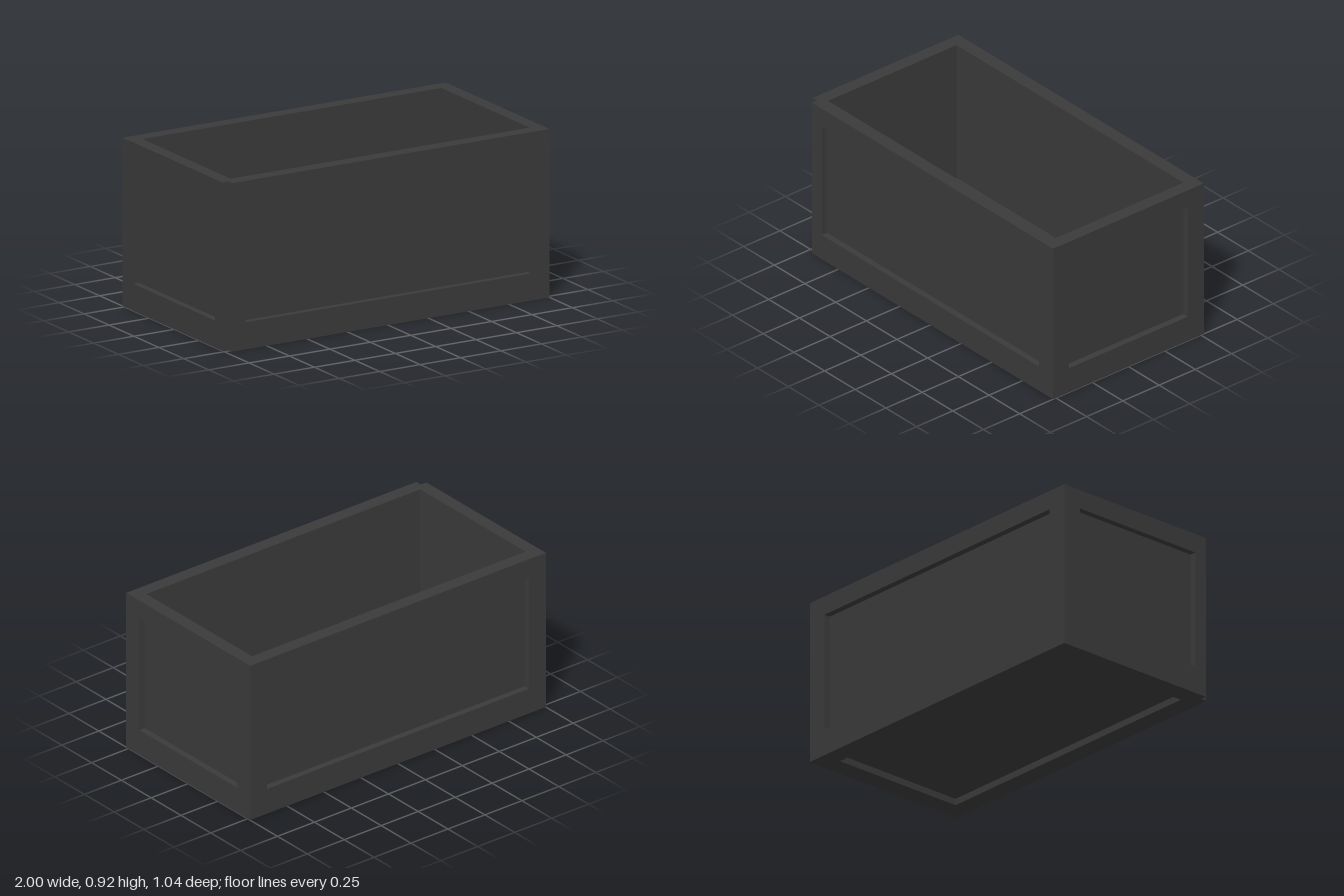
import * as THREE from 'three';

const W = 1, D = 0.52, H = 0.923;       // half width, half depth, height
const T = 0.037;                        // frame thickness and recess depth
const IX = 0.925, IZ = 0.443;           // inner cavity half sizes
const PX = 0.885, PZ = 0.41;            // recess opening half sizes
const P0 = 0.148, P1 = 0.816;           // recess bottom and top
const FLOOR = 0.11;

const material = new THREE.MeshStandardMaterial({ color: 0x3a3a3a });

function trace(path, [x0, x1, y0, y1]) {
  path.moveTo(x0, y0).lineTo(x1, y0).lineTo(x1, y1).lineTo(x0, y1).closePath();
  return path;
}

// Rectangular board with a rectangular opening
function frame(name, outer, inner, depth) {
  const shape = trace(new THREE.Shape(), outer);
  shape.holes.push(trace(new THREE.Path(), inner));
  const mesh = new THREE.Mesh(
    new THREE.ExtrudeGeometry(shape, { depth, bevelEnabled: false }), material);
  mesh.name = name;
  return mesh;
}

export function createModel() {
  const group = new THREE.Group();
  group.name = 'planterBox';

  // Inner walls, seen as recessed panels from outside
  const walls = frame('innerWalls',
    [-W + T, W - T, -D + T, D - T], [-IX, IX, -IZ, IZ], H - T);
  walls.rotation.x = -Math.PI / 2;
  walls.position.y = T;

  // Floor
  const floor = new THREE.Mesh(
    new THREE.BoxGeometry(2 * IX, FLOOR - T, 2 * IZ), material);
  floor.name = 'floor';
  floor.position.y = (FLOOR + T) / 2;

  // Bottom frame
  const base = frame('bottomFrame',
    [-W + T, W - T, -D + T, D - T], [-PX, PX, -PZ, PZ], T);
  base.rotation.x = -Math.PI / 2;

  // Long frames; the front one stops short, leaving a notch at one corner
  const front = frame('frontFrame', [-W + T, W, 0, H], [-PX, PX, P0, P1], T);
  front.position.z = D - T;
  const back = frame('backFrame', [-W, W, 0, H], [-PX, PX, P0, P1], T);
  back.position.z = -D;
  group.add(walls, floor, base, front, back);

  // End frames between the long ones
  for (const [name, x] of [['leftFrame', W - T], ['rightFrame', -W]]) {
    const side = frame(name, [-D + T, D - T, 0, H], [-PZ, PZ, P0, P1], T);
    side.rotation.y = Math.PI / 2;
    side.position.x = x;
    group.add(side);
  }
  return group;
}
